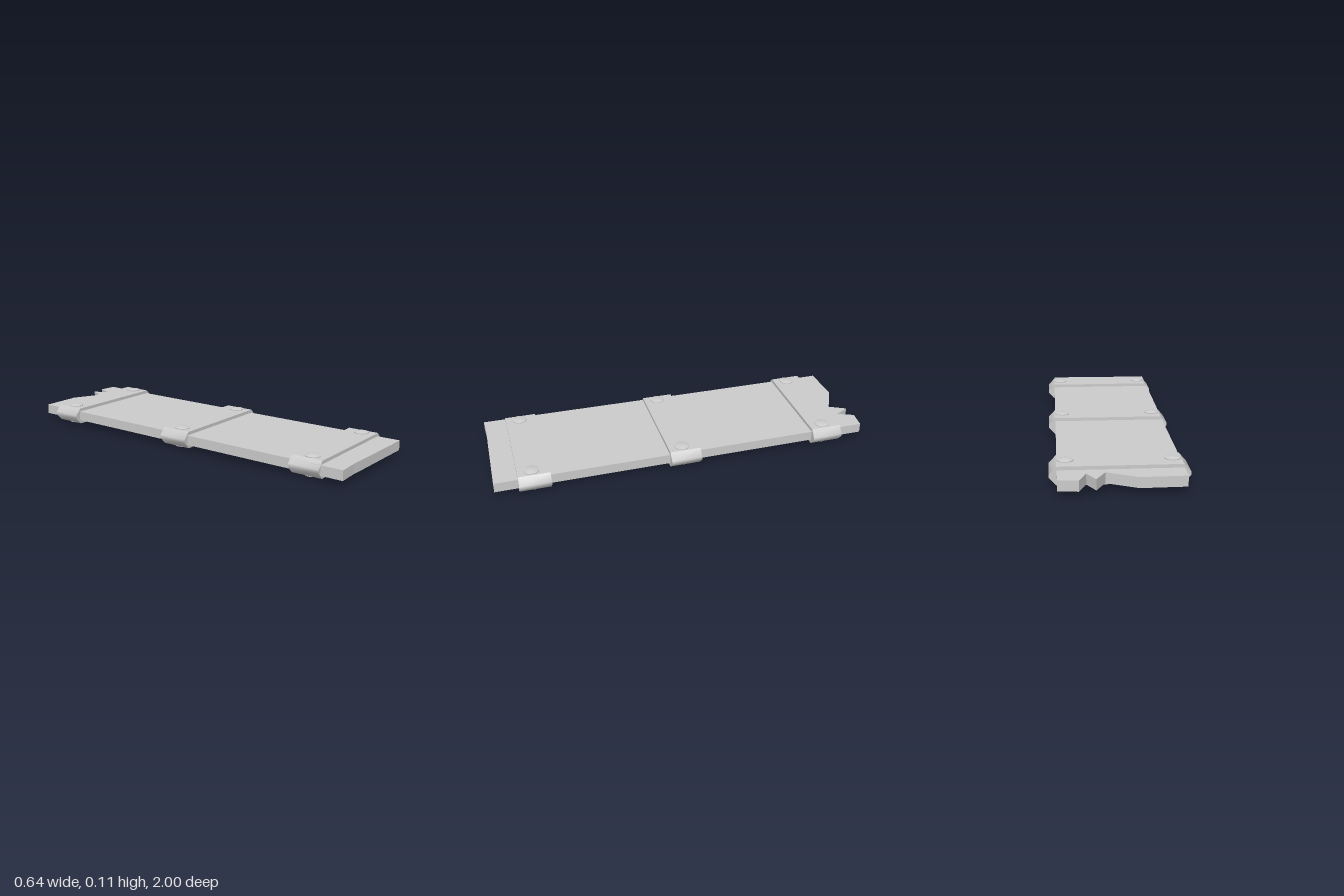
import * as THREE from 'three';
import { toCreasedNormals } from 'three/addons/utils/BufferGeometryUtils.js';

const material = new THREE.MeshStandardMaterial({ color: 0xcccccc });

function extrude(points, depth) {
  const shape = new THREE.Shape(points.map(([x, y]) => new THREE.Vector2(x, y)));
  return new THREE.ExtrudeGeometry(shape, { depth, bevelEnabled: false });
}

function addMesh(parent, name, geometry) {
  const mesh = new THREE.Mesh(geometry, material);
  mesh.name = name;
  parent.add(mesh);
  return mesh;
}

export function createModel() {
  const model = new THREE.Group();
  model.name = 'bandedPlank';

  // Plank outline as [x, z], splintered at the back end
  const outline = [
    [-0.305, 0.995], [-0.19, 0.99], [-0.1, 0.993], [0.284, 1],
    [0.284, -0.99], [0.19, -1], [0.155, -0.915], [0.115, -0.99],
    [0.07, -0.903], [-0.075, -0.975], [-0.29, -0.97], [-0.293, -0.3], [-0.3, 0.4],
  ];
  const plank = extrude(outline.map(([x, z]) => [x, -z]), 0.051);
  plank.rotateX(-Math.PI / 2).translate(0, 0.032, 0);
  addMesh(model, 'plank', plank);

  // Strap cross-section: flat top and bottom, rounded-off sides
  const strapSection = [
    [-0.287, 0.012], [0.287, 0.012], [0.32, 0.048], [0.32, 0.064],
    [0.287, 0.1], [-0.287, 0.1], [-0.32, 0.064], [-0.32, 0.048],
  ];
  const strapWidth = 0.163;
  const strapGeometry = toCreasedNormals(extrude(strapSection, strapWidth), 0.78);
  strapGeometry.translate(0, 0, -strapWidth / 2);

  // Shallow domed rivet head, base at y = 0
  const rivetProfile = [[0.038, -0.004], [0.038, 0.004], [0.02, 0.009], [0, 0.0115]];
  const rivetGeometry = toCreasedNormals(
    new THREE.LatheGeometry(rivetProfile.map(([r, y]) => new THREE.Vector2(r, y)), 16), 0.8);

  // Three straps, each with two rivets above and two below
  for (const z of [-0.782, 0.013, 0.797]) {
    const strap = new THREE.Group();
    strap.name = 'strap';
    strap.position.z = z;
    model.add(strap);
    addMesh(strap, 'strapBand', strapGeometry);
    for (const x of [-0.247, 0.245]) {
      addMesh(strap, 'topRivet', rivetGeometry).position.set(x, 0.1, 0.008);
      const lower = addMesh(strap, 'bottomRivet', rivetGeometry);
      lower.position.set(x, 0.0115, 0.008);
      lower.rotation.x = Math.PI;
    }
  }
  return model;
}
